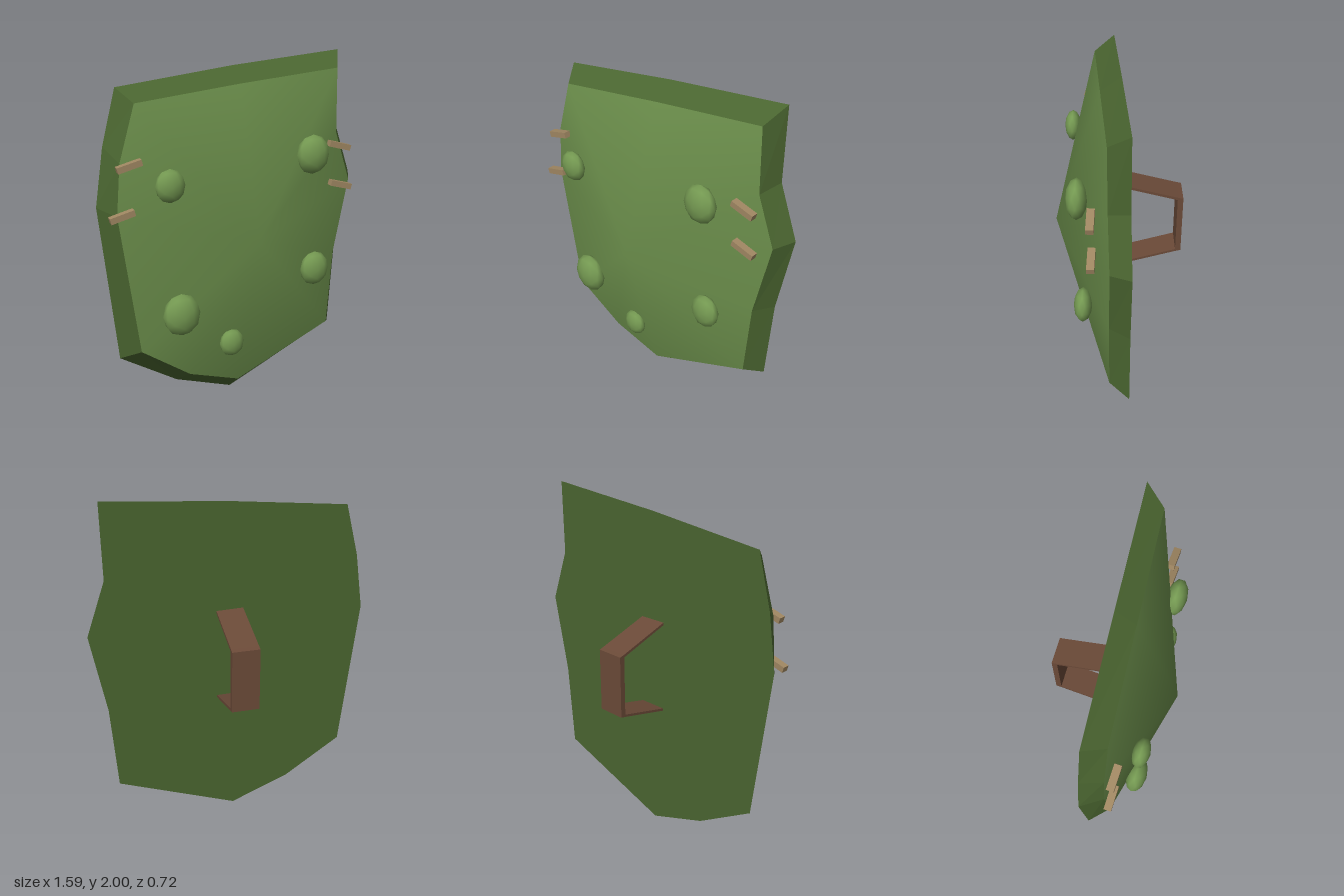
import * as THREE from 'three';

const paint = (name, color) => Object.assign(new THREE.MeshStandardMaterial({ color }), { name });

// Outer (back) and inner (front) outlines, clockwise from the top left corner
const OUTER = [[-0.67, 1.87], [0, 1.945], [0.68, 2], [0.68, 1.58], [0.79, 1.27], [0.71, 0.8],
  [0.68, 0.29], [-0.02, 0], [-0.37, 0.13], [-0.71, 0.35], [-0.8, 1.25], [-0.75, 1.57]];
const INNER = [[-0.6, 1.8], [0, 1.86], [0.62, 1.91], [0.63, 1.54], [0.73, 1.25], [0.64, 0.8],
  [0.61, 0.345], [-0.01, 0.1], [-0.32, 0.21], [-0.61, 0.42], [-0.715, 1.22], [-0.69, 1.5]];

// The whole plate is turned slightly, so depth falls with x
const backZ = (x) => -0.012 - 0.098 * x;
const frontZ = (x) => 0.1 - 0.105 * x;

function surface(points, index) {
  const geo = new THREE.BufferGeometry();
  geo.setAttribute('position', new THREE.Float32BufferAttribute(points.flat(), 3));
  geo.setIndex(index);
  return geo;
}

// Triangles from a centre point to a closed outline
function fan(ring, centre, front) {
  const n = ring.length, index = [];
  for (let i = 0; i < n; i++) {
    const j = (i + 1) % n;
    index.push(n, front ? j : i, front ? i : j);
  }
  const geo = surface([...ring, centre], index);
  geo.computeVertexNormals();
  return geo;
}

// Bevelled band between the two outlines, one flat face per side
function band(outer, inner) {
  const n = outer.length, index = [];
  for (let i = 0; i < n; i++) {
    const j = (i + 1) % n;
    index.push(i, n + i, n + j, i, n + j, j);
  }
  const geo = surface([...outer, ...inner], index).toNonIndexed();
  geo.computeVertexNormals();
  return geo;
}

export function createModel() {
  const group = new THREE.Group();
  const faceGreen = paint('faceGreen', 0x6b8e4b);
  const rimGreen = paint('rimGreen', 0x4a6530);
  const bumpGreen = paint('bumpGreen', 0x759a52);
  const tan = paint('tan', 0xa08762);
  const brown = paint('brown', 0x6b4a38);

  const add = (name, geo, mat, parent = group) => {
    const mesh = new THREE.Mesh(geo, mat);
    mesh.name = name;
    parent.add(mesh);
    return mesh;
  };

  // Shield plate
  const outer = OUTER.map(([x, y]) => [x, y, backZ(x)]);
  const inner = INNER.map(([x, y]) => [x, y, frontZ(x)]);
  add('shieldFace', fan(inner, [0.01, 1.05, 0.36], true), faceGreen);
  add('shieldRim', band(outer, inner), rimGreen);
  add('shieldBack', fan(outer, [0, 1, backZ(0)], false), rimGreen);

  // Rounded warts on the face: x, y, z, width radius, height radius
  const warts = [[-0.46, 1.39, 0.29, 0.081, 0.09], [0.395, 1.465, 0.203, 0.098, 0.111],
    [-0.405, 0.655, 0.265, 0.106, 0.122], [0.435, 0.78, 0.185, 0.088, 0.102],
    [-0.09, 0.405, 0.205, 0.073, 0.083]];
  const wartGeo = new THREE.IcosahedronGeometry(1, 1);
  for (const [x, y, z, rx, ry] of warts) {
    const wart = add('wart', wartGeo, bumpGreen);
    wart.position.set(x, y, z);
    wart.scale.set(rx, ry, rx * 0.58);
  }

  // Short pegs near both edges
  const pegGeo = new THREE.BoxGeometry(0.135, 0.033, 0.04);
  for (const [x, y, z] of [[-0.65, 1.493, 0.21], [-0.697, 1.232, 0.21],
    [0.603, 1.483, 0.12], [0.62, 1.252, 0.12]]) {
    const peg = add('peg', pegGeo, tan);
    peg.position.set(x, y, z);
    peg.rotation.z = x < 0 ? 0.26 : -0.26;
  }

  // Bracket-shaped handle on the back
  const profile = [[0, 1.335], [0.325, 1.243], [0.351, 1.237], [0.351, 0.873], [0.325, 0.867],
    [0, 0.775], [0, 0.79], [0.32, 0.88], [0.32, 1.228], [0, 1.32]];
  const handleGeo = new THREE.ExtrudeGeometry(
    new THREE.Shape(profile.map(([d, y]) => new THREE.Vector2(d, y))),
    { depth: 0.155, bevelEnabled: false });
  handleGeo.translate(0, 0, -0.0775).rotateY(Math.PI / 2);
  const handle = add('handle', handleGeo, brown);
  handle.rotation.y = 0.06;

  return group;
}
